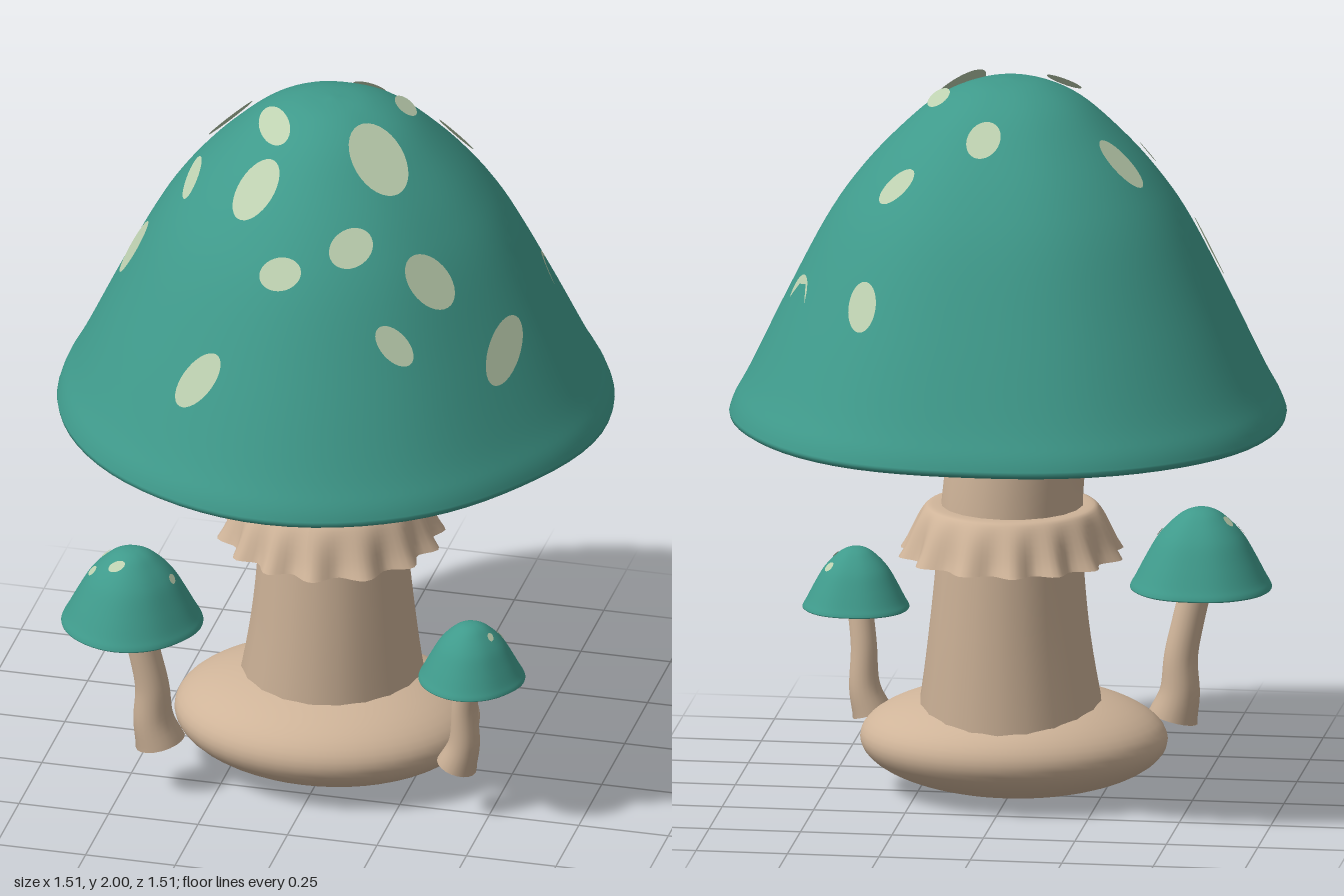
import * as THREE from 'three';
import { mergeVertices } from 'three/addons/utils/BufferGeometryUtils.js';

const V2 = (x, y) => new THREE.Vector2(x, y);
const V3 = (x, y, z) => new THREE.Vector3(x, y, z);

// Uneven rim radius, one value every 30 degrees measured from +x towards +z
const RIM = 0.755;
const rimCurve = new THREE.CatmullRomCurve3(
  [0.755, 0.72, 0.738, 0.755, 0.745, 0.745, 0.757, 0.788, 0.785, 0.76, 0.782, 0.77].map(r => V3(r, 0, 0)),
  true, 'catmullrom');
function rimScale(x, z) {
  const t = Math.atan2(z, x) / (2 * Math.PI);
  return rimCurve.getPoint(t < 0 ? t + 1 : t).x / RIM;
}

// Cap profile, rim to apex; heights are measured above the rim
const capProfile = new THREE.SplineCurve([
  [0.753, 0.015], [0.738, 0.055], [0.695, 0.135], [0.6, 0.333], [0.49, 0.547], [0.4, 0.677],
  [0.3, 0.787], [0.2, 0.874], [0.1, 0.92], [0, 0.933],
].map(p => V2(...p))).getPoints(48);

function capHeight(x, z) {
  const r = Math.hypot(x, z) / rimScale(x, z);
  for (let i = 1; i < capProfile.length; i++) {
    const a = capProfile[i - 1], b = capProfile[i];
    if (r >= b.x) return a.y + (b.y - a.y) * (a.x - r) / (a.x - b.x);
  }
  return 0.933;
}

// Lathe whose outline follows the uneven rim
function capLathe(points) {
  const geo = new THREE.LatheGeometry(points, 72);
  const p = geo.attributes.position;
  for (let i = 0; i < p.count; i++) {
    const s = rimScale(p.getX(i), p.getZ(i));
    p.setXYZ(i, p.getX(i) * s, p.getY(i), p.getZ(i) * s);
  }
  geo.deleteAttribute('uv');
  geo.deleteAttribute('normal');
  const welded = mergeVertices(geo, 1e-5);
  welded.computeVertexNormals();
  return welded;
}

// Flat oval laid on the cap's slope: centre, half sizes and turn as seen from above
function spotGeometry([x, z, long, short, degrees, lift = 0.014, steepness = 1]) {
  const e = 0.02;
  const slopeX = steepness * (capHeight(x + e, z) - capHeight(x - e, z)) / (2 * e);
  const slopeZ = steepness * (capHeight(x, z + e) - capHeight(x, z - e)) / (2 * e);
  const geo = new THREE.CircleGeometry(1, 32).rotateX(-Math.PI / 2)
    .scale(long, 1, short).rotateY(-THREE.MathUtils.degToRad(degrees));
  const p = geo.attributes.position;
  for (let i = 0; i < p.count; i++) p.setY(i, p.getX(i) * slopeX + p.getZ(i) * slopeZ);
  geo.computeVertexNormals();
  return geo.translate(x, capHeight(x, z) + lift, z);
}

// Tapered round stalk along a curve, closed at the lower end
function stalk(points, radiusAt, material, name) {
  const path = new THREE.CatmullRomCurve3(points.map(p => V3(...p)));
  const seg = 24, sides = 20;
  const geo = new THREE.TubeGeometry(path, seg, 1, sides);
  const p = geo.attributes.position, v = V3(0, 0, 0);
  for (let i = 0; i < p.count; i++) {
    const u = Math.floor(i / (sides + 1)) / seg, c = path.getPointAt(u);
    v.fromBufferAttribute(p, i).sub(c).multiplyScalar(radiusAt(u)).add(c);
    p.setXYZ(i, v.x, v.y, v.z);
  }
  const group = new THREE.Group();
  group.name = name;
  const side = new THREE.Mesh(geo, material);
  side.name = name + 'Side';
  const end = new THREE.Mesh(new THREE.CircleGeometry(radiusAt(0), sides), material);
  end.name = name + 'End';
  end.position.copy(path.getPointAt(0));
  end.quaternion.setFromUnitVectors(V3(0, 0, 1), path.getTangentAt(0).negate());
  group.add(side, end);
  return group;
}

export function createModel() {
  const mat = (name, color, side = THREE.FrontSide) => {
    const m = new THREE.MeshStandardMaterial({ color, side });
    m.name = name;
    return m;
  };
  const teal = mat('capTeal', 0x3f9a8b);
  const pale = mat('spotPaleGreen', 0xbdd0b0, THREE.DoubleSide);
  const brown = mat('gillBrown', 0xc0905a);
  const tan = mat('stemTan', 0xcfb499, THREE.DoubleSide);

  const model = new THREE.Group();
  model.name = 'mushroomCluster';
  const add = (parent, geo, material, name) => {
    const m = new THREE.Mesh(geo, material);
    m.name = name;
    parent.add(m);
    return m;
  };

  // Cap with a rolled rim, a hollow gill side and spots
  function makeCap(name, spots) {
    const cap = new THREE.Group();
    cap.name = name;
    add(cap, capLathe([V2(0.725, 0.0), V2(0.742, 0.0), V2(0.751, 0.006), ...capProfile]), teal, 'capTop');
    const under = new THREE.SplineCurve([V2(0, 0.225), V2(0.2, 0.21), V2(0.38, 0.155), V2(0.52, 0.075),
      V2(0.61, 0.02), V2(0.67, 0.0), V2(0.735, -0.004)]);
    add(cap, capLathe(under.getPoints(30)), brown, 'gills');
    spots.forEach(s => add(cap, spotGeometry(s), pale, 'spot'));
    model.add(cap);
    return cap;
  }

  makeCap('mainCap', [
    [0.032, -0.276, 0.047, 0.043, -20], [0.333, -0.491, 0.052, 0.03, 50], [0.264, -0.312, 0.049, 0.032, 8],
    [-0.329, -0.166, 0.06, 0.042, 0], [0.183, -0.077, 0.055, 0.03, 75], [-0.531, 0.101, 0.052, 0.038, 60],
    [-0.361, 0.13, 0.068, 0.022, 88], [-0.13, 0.134, 0.083, 0.036, 58], [0.17, 0.17, 0.081, 0.08, 0],
    [-0.142, 0.288, 0.065, 0.06, -45], [-0.032, 0.455, 0.058, 0.026, 0], [-0.235, 0.56, 0.064, 0.03, 3],
    [0.146, 0.377, 0.062, 0.033, -33], [0.349, 0.308, 0.072, 0.038, -38], [0.288, 0.458, 0.052, 0.022, -18],
    [0.535, 0.223, 0.093, 0.027, -76], [0.55, -0.24, 0.075, 0.03, 75, -0.01, 1.2],
  ]).position.y = 1.067;

  // Main stem and the bulb it grows from
  model.add(stalk([[-0.004, 0.2, 0], [0, 0.5, 0], [-0.008, 0.82, -0.002], [-0.034, 1.07, 0], [-0.055, 1.31, 0]],
    u => 0.186 + 0.075 * (1 - u) ** 3, tan, 'mainStem'));
  const bulb = add(model, new THREE.SphereGeometry(1, 48, 28), tan, 'baseBulb');
  bulb.scale.set(0.418, 0.15, 0.343);
  bulb.position.set(-0.006, 0.153, 0.042);

  // Frilled skirt around the stem
  const skirtLine = new THREE.SplineCurve([V2(0.3, 0.677), V2(0.283, 0.71), V2(0.258, 0.77),
    V2(0.236, 0.806), V2(0.215, 0.815), V2(0.17, 0.815)]);
  const skirt = new THREE.LatheGeometry(skirtLine.getPoints(15), 112);
  const p = skirt.attributes.position;
  for (let i = 0; i < p.count; i++) {
    const x = p.getX(i), y = p.getY(i), z = p.getZ(i), a = Math.atan2(z, x);
    const k = THREE.MathUtils.clamp((0.81 - y) / 0.13, 0, 1);
    const s = 1 + (0.06 * Math.sin(14 * a + 0.6 * Math.sin(3 * a)) - 0.025) * k;
    p.setXYZ(i, x * s - 0.006, y, z * s);
  }
  skirt.computeVertexNormals();
  add(model, skirt, tan, 'skirt');

  // Two small mushrooms
  const young = [
    { name: 'rightYoung', at: [-0.475, 0.515, 0.345], size: [0.255, 0.236], r: 0.043, flare: 0.026,
      path: [[-0.4, 0.152, 0.325], [-0.418, 0.22, 0.328], [-0.421, 0.32, 0.332], [-0.44, 0.42, 0.337],
        [-0.475, 0.57, 0.345]],
      spots: [[-0.1, 0.25, 0.09, 0.05, 0], [0.45, 0.02, 0.06, 0.03, 90], [-0.3, -0.08, 0.07, 0.05, 90],
        [-0.4, 0.12, 0.07, 0.04, 60]] },
    { name: 'leftYoung', at: [0.462, 0.438, 0.298], size: [0.192, 0.179], r: 0.035, flare: 0.021,
      path: [[0.413, 0.152, 0.265], [0.434, 0.22, 0.268], [0.438, 0.34, 0.275], [0.457, 0.49, 0.295]],
      spots: [[0.3, 0.08, 0.06, 0.04, 90], [0.35, -0.25, 0.08, 0.05, 50]] },
  ];
  for (const y of young) {
    const cap = makeCap(y.name + 'Cap', y.spots);
    cap.position.set(...y.at);
    cap.scale.set(y.size[0], y.size[1], y.size[0]);
    model.add(stalk(y.path, u => y.r + y.flare * (1 - u) ** 4, tan, y.name + 'Stem'));
  }
  return model;
}
